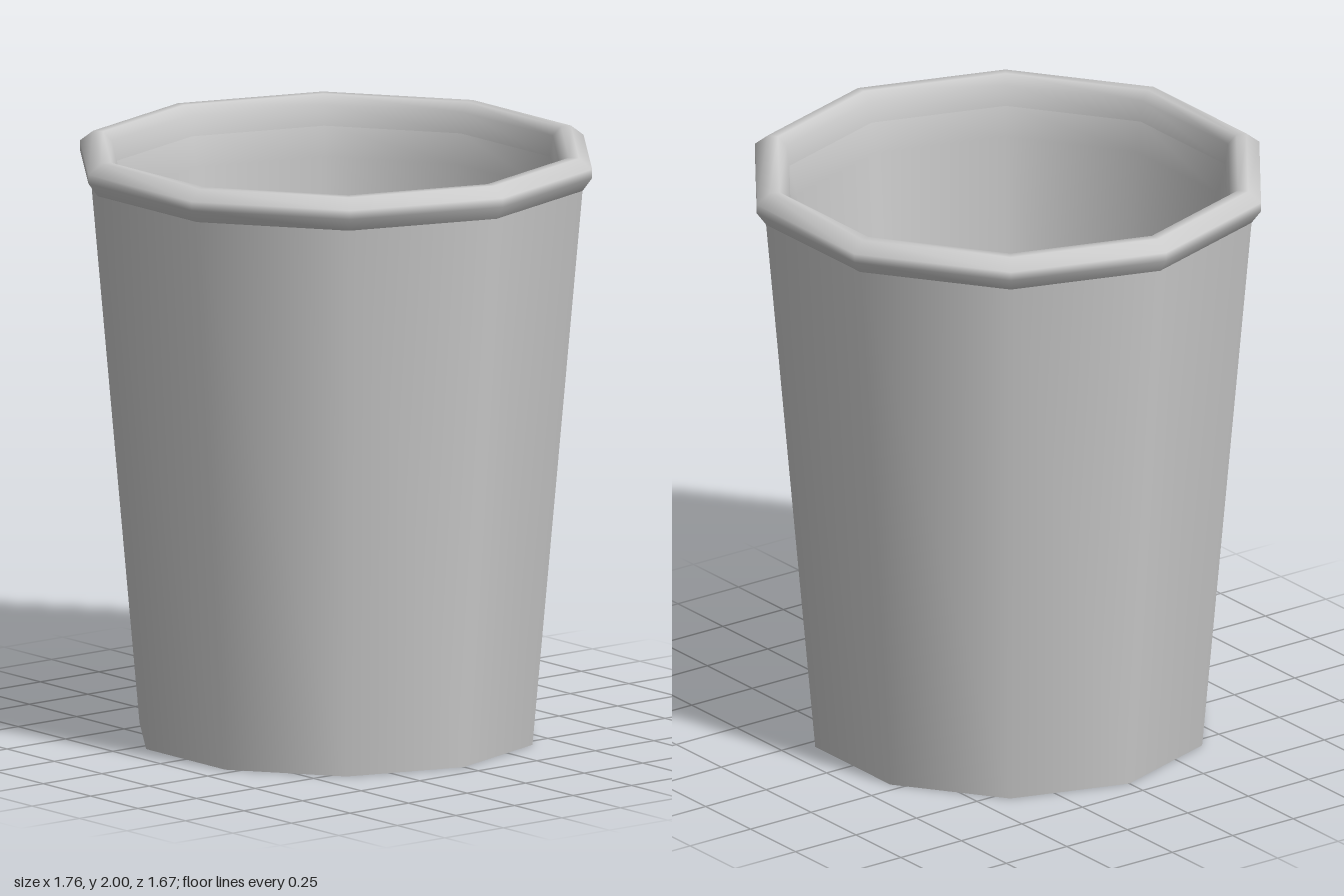
import * as THREE from 'three';

const SIDES = 10;

export function createModel() {
  const cup = new THREE.Group();
  cup.name = 'cup';
  const material = new THREE.MeshStandardMaterial({ color: 0xcccccc });

  const addPart = (name, geometry) => {
    const mesh = new THREE.Mesh(geometry, material);
    mesh.name = name;
    cup.add(mesh);
  };

  // Ten-sided turned part with a corner on the x axis; profile is [radius, height]
  const turned = (profile) => new THREE.LatheGeometry(
    profile.map(([r, y]) => new THREE.Vector2(r, y)), SIDES, Math.PI / 2);

  // Tapered outside
  addPart('outerWall', turned([[0.675, 0], [0.847, 1.89]]));

  // Rolled lip, from the outside over the top to the inside
  addPart('rim', turned([
    [0.847, 1.89], [0.88, 1.935], [0.88, 1.965], [0.835, 2],
    [0.8, 2], [0.77, 1.97], [0.76, 1.9],
  ]));

  // Inside wall, rounded softly into the floor
  addPart('inside', turned([
    [0.76, 1.9], [0.735, 1.8], [0.625, 0.25], [0.6, 0.12],
    [0.53, 0.06], [0.35, 0.04], [0, 0.04],
  ]));

  // Flat underside
  addPart('base', new THREE.CircleGeometry(0.675, SIDES).rotateX(Math.PI / 2));

  return cup;
}
